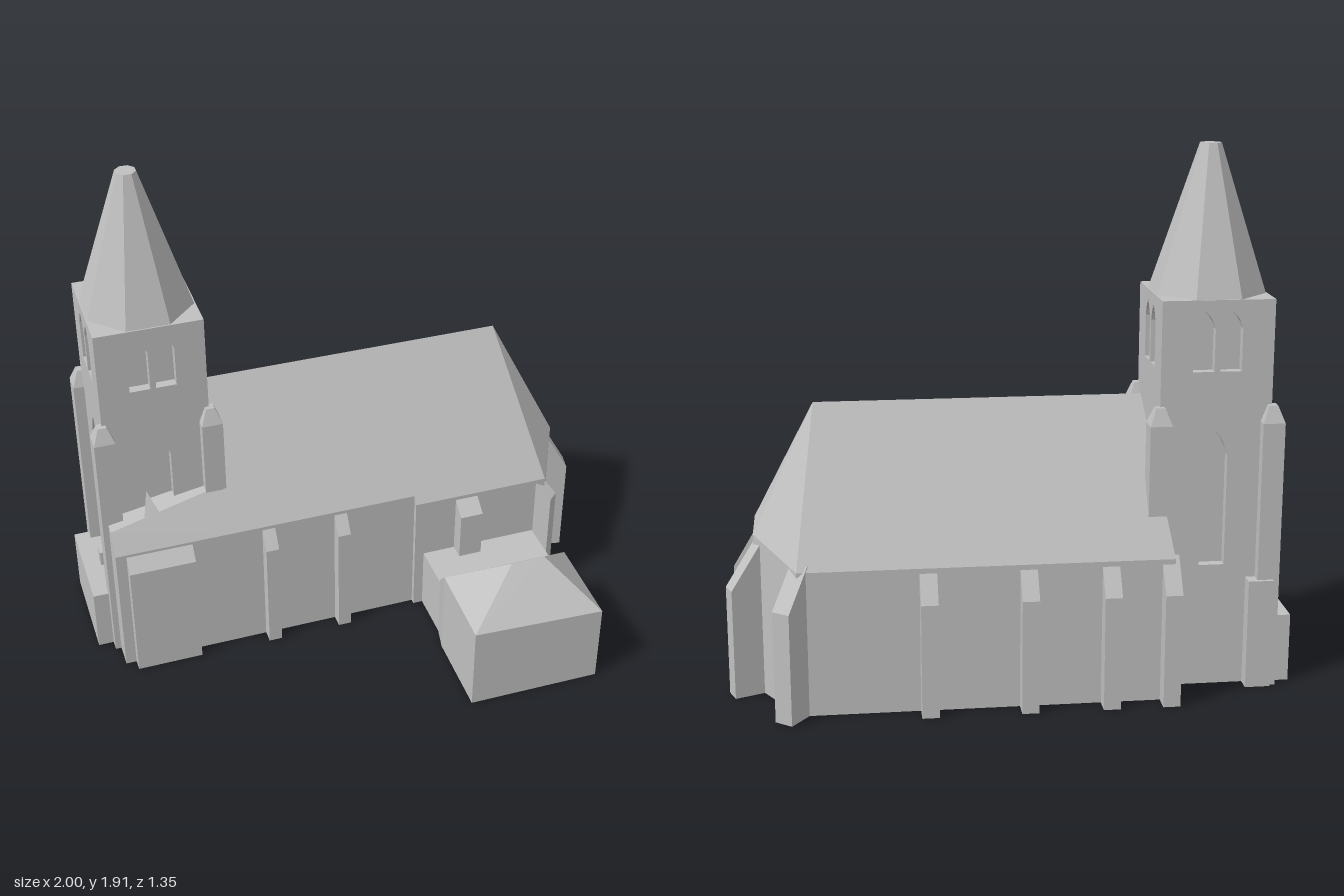
import * as THREE from 'three';
import { ConvexGeometry } from 'three/addons/geometries/ConvexGeometry.js';

export function createModel() {
  const church = new THREE.Group();
  church.name = 'church';
  const stone = new THREE.MeshStandardMaterial({ color: 0xc0c0c0 });
  stone.name = 'grey stone';

  function add(name, geometry, parent = church) {
    const g = geometry.index ? geometry.toNonIndexed() : geometry;
    g.computeVertexNormals();
    const mesh = new THREE.Mesh(g, stone);
    mesh.name = name;
    parent.add(mesh);
    return mesh;
  }

  // Flat-faced solid around a few corner points
  const solid = (name, pts, parent) =>
    add(name, new ConvexGeometry(pts.map(p => new THREE.Vector3(...p))), parent);

  // Solid whose walls drop from its eave points to the ground
  const building = (name, eaves, tops = []) =>
    solid(name, [...eaves, ...eaves.map(([x, , z]) => [x, 0, z]), ...tops]);

  function box(name, x0, x1, y0, y1, z0, z1, parent) {
    const g = new THREE.BoxGeometry(x1 - x0, y1 - y0, z1 - z0);
    g.translate((x0 + x1) / 2, (y0 + y1) / 2, (z0 + z1) / 2);
    return add(name, g, parent);
  }

  // Nave with a steep gabled roof
  building('nave',
    [[-0.48, 0.53, 0.05], [0.26, 0.53, 0.05], [0.26, 0.52, -0.6], [-0.55, 0.52, -0.6]],
    [[-0.48, 1.03, -0.27], [0.26, 1.03, -0.27]]);

  // Choir with a hipped polygonal end
  building('choir',
    [[0.25, 0.5, 0.07], [0.79, 0.5, 0.07], [0.9, 0.58, -0.14], [0.9, 0.58, -0.35],
      [0.75, 0.52, -0.6], [0.25, 0.52, -0.6]],
    [[0.25, 1.03, -0.27], [0.68, 1.03, -0.27]]);

  // Side aisle that continues the front roof slope past the tower
  building('westAisle',
    [[-0.92, 0.53, 0.05], [-0.47, 0.53, 0.05], [-0.47, 0.53, -0.12], [-0.92, 0.53, -0.12]],
    [[-0.92, 0.61, 0], [-0.47, 0.69, -0.055], [-0.92, 0.61, -0.12], [-0.47, 0.69, -0.12]]);
  solid('aisleRoofPeak',
    [[-0.79, 0.63, -0.015], [-0.73, 0.64, -0.02], [-0.765, 0.715, -0.07], [-0.76, 0.63, -0.1]]);

  // Buttress: starts inside the wall at x,z and runs outward with a sloping top
  function buttress(x, z, dx, dz, width, length, inner, outer) {
    const l = Math.hypot(dx, dz), ux = dx / l, uz = dz / l;
    const corner = (d, s, y) => [x + ux * d - uz * s * width / 2, y, z + uz * d + ux * s * width / 2];
    building('buttress', [corner(0, -1, inner), corner(0, 1, inner),
      corner(length, -1, outer), corner(length, 1, outer)]);
  }
  for (const x of [-0.535, -0.325, -0.04, 0.305]) buttress(x, -0.58, 0, -1, 0.06, 0.085, 0.53, 0.41);
  for (const x of [-0.335, -0.05]) buttress(x, 0.04, 0, 1, 0.05, 0.06, 0.53, 0.45);
  buttress(0.46, 0.05, 0, 1, 0.09, 0.08, 0.5, 0.44);
  buttress(-0.755, 0.04, 0, 1, 0.25, 0.055, 0.53, 0.47);
  buttress(0.74, -0.57, 0.6, -0.8, 0.07, 0.11, 0.54, 0.4);
  buttress(0.87, -0.355, 0.93, -0.37, 0.06, 0.127, 0.58, 0.4);
  buttress(0.87, -0.15, 0.97, 0.2, 0.07, 0.105, 0.58, 0.4);
  buttress(0.76, 0.04, 0.65, 0.75, 0.05, 0.085, 0.5, 0.43);

  // Tower: solid core faced with pierced walls
  const tower = new THREE.Group();
  tower.name = 'tower';
  tower.position.set(-0.705, 0, -0.28);
  church.add(tower);
  const half = 0.197, depth = 0.035;
  box('towerCore', depth - half, half - depth, 0, 1.39, depth - half, half - depth, tower);

  function lancet(cx, w, y0, shoulder, tip) {
    const p = new THREE.Path();
    p.moveTo(cx - w / 2, y0);
    p.lineTo(cx - w / 2, shoulder);
    p.quadraticCurveTo(cx - w / 2.6, (shoulder + tip) / 2 + 0.008, cx, tip);
    p.quadraticCurveTo(cx + w / 2.6, (shoulder + tip) / 2 + 0.008, cx + w / 2, shoulder);
    p.lineTo(cx + w / 2, y0);
    p.closePath();
    return p;
  }
  for (let i = 0; i < 4; i++) {
    const wall = new THREE.Shape([[-half, 0], [half, 0], [half, 1.4], [-half, 1.4]]
      .map(p => new THREE.Vector2(...p)));
    wall.holes.push(lancet(-0.048, 0.075, 1.15, 1.3, 1.36), lancet(0.048, 0.075, 1.15, 1.3, 1.36));
    if (i !== 1) wall.holes.push(lancet(0, 0.09, 0.45, 0.85, 0.94));
    const g = new THREE.ExtrudeGeometry(wall, { depth, bevelEnabled: false, curveSegments: 3 });
    g.translate(0, 0, half - depth);
    g.rotateY(i * Math.PI / 2);
    add('towerWall', g, tower);
  }
  box('towerTop', -half, half, 1.385, 1.4, -half, half, tower);

  // Corner piers with pyramid caps
  for (const sx of [-1, 1]) for (const sz of [-1, 1]) {
    const square = (r, y) => [[-r, -r], [r, -r], [r, r], [-r, r]]
      .map(([x, z]) => [sx * 0.198 + x, y, sz * 0.198 + z]);
    solid('cornerPier', [...square(0.039, 0), ...square(0.039, 0.97), ...square(0.016, 1.03)], tower);
  }

  // Eight-sided spire with a blunt tip
  const c = Math.cos(Math.PI / 8);
  const spire = new THREE.CylinderGeometry(0.035 / c, 0.192 / c, 0.515, 8);
  spire.rotateY(Math.PI / 8);
  spire.translate(0, 1.6575, 0);
  add('spire', spire, tower);

  // Low blocks around the tower foot
  box('westPorch', -1, -0.89, 0, 0.25, -0.48, -0.085);
  box('porchStub', -0.935, -0.89, 0.25, 0.31, -0.305, -0.26);
  box('towerFootBlock', -0.92, -0.83, 0, 0.4, -0.53, -0.46);

  // Flat-roofed passage and hipped sacristy
  box('passage', 0.287, 0.75, 0, 0.25, 0, 0.26);
  building('sacristy',
    [[0.265, 0.34, 0.665], [0.77, 0.32, 0.67], [0.795, 0.29, 0.28],
      [0.75, 0.25, 0.24], [0.29, 0.25, 0.24], [0.268, 0.35, 0.34]],
    [[0.47, 0.49, 0.495], [0.6, 0.49, 0.495]]);

  return church;
}
